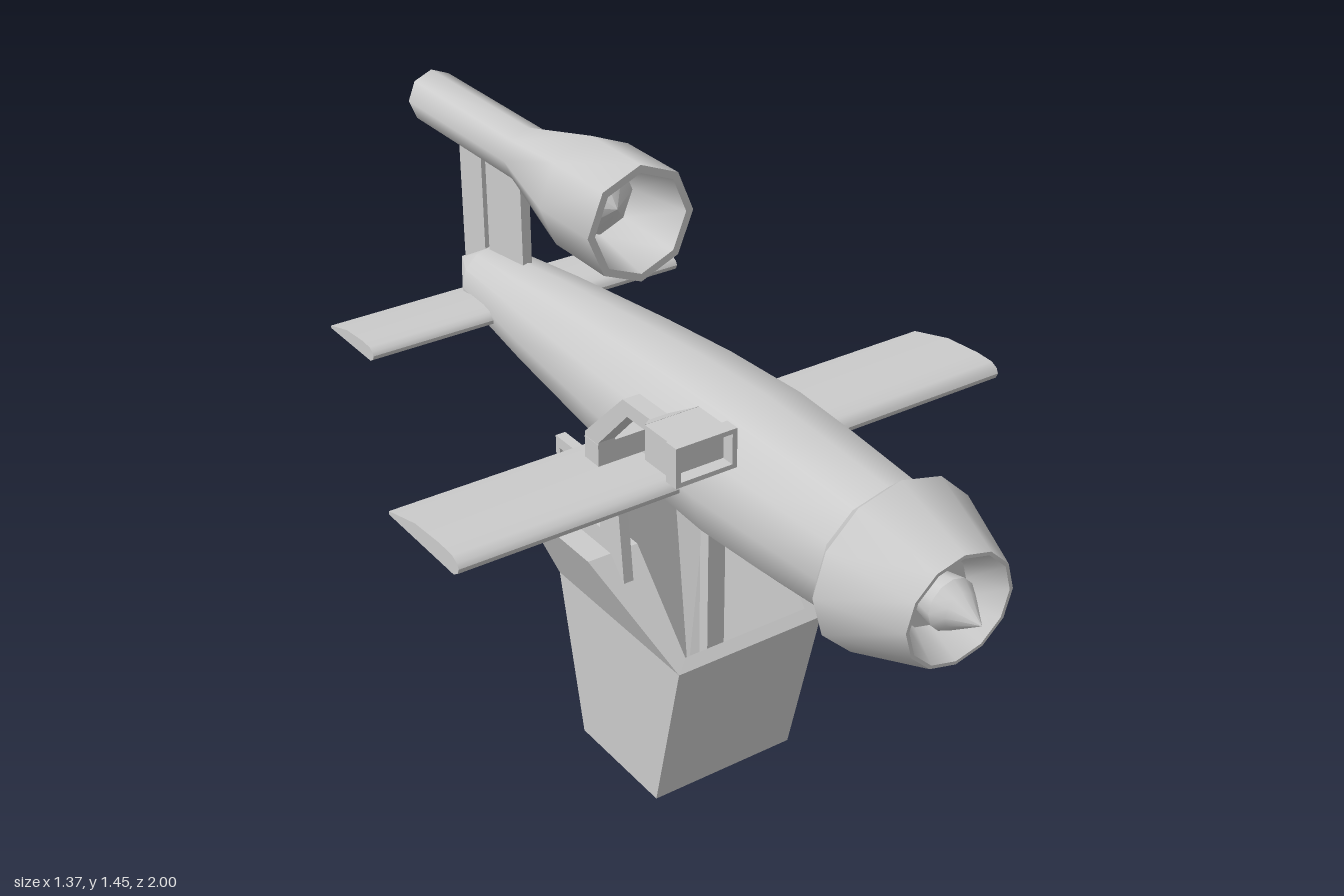
import * as THREE from 'three';
import { toCreasedNormals } from 'three/addons/utils/BufferGeometryUtils.js';

const mat = new THREE.MeshStandardMaterial({ color: 0xcccccc });
const thin = new THREE.MeshStandardMaterial({ color: 0xcccccc, flatShading: true, side: THREE.DoubleSide });

const AXIS = 0.935;   // height of the fuselage axis

export function createModel() {
  const model = new THREE.Group();

  const add = (name, geo, material = mat) => {
    const mesh = new THREE.Mesh(geo, material);
    mesh.name = name;
    model.add(mesh);
    return mesh;
  };

  // Body of revolution along z; profile is [radius, z] from tail to nose
  const turned = (name, profile, y, sides, crease, squash = 1) => {
    const geo = new THREE.LatheGeometry(profile.map(([r, z]) => new THREE.Vector2(r, z)), sides);
    geo.rotateX(Math.PI / 2).scale(1, squash, 1).translate(0, y, 0);
    return add(name, toCreasedNormals(geo, crease));
  };

  // Side outline of [z, y] points extruded across x0..x1
  const toPoints = (pts) => pts.map(([z, y]) => new THREE.Vector2(z, y));
  const slab = (name, outline, x0, x1, holes = []) => {
    const shape = new THREE.Shape(toPoints(outline));
    holes.forEach((h) => shape.holes.push(new THREE.Path(toPoints(h))));
    const geo = new THREE.ExtrudeGeometry(shape, { depth: x1 - x0, bevelEnabled: false });
    geo.rotateY(-Math.PI / 2).translate(x1, 0, 0);
    return add(name, toCreasedNormals(geo, 0.7));
  };
  const rect = (z0, z1, y0, y1) => [[z0, y0], [z1, y0], [z1, y1], [z0, y1]];

  // Fuselage, cowl and spinner
  turned('fuselage', [[0, -0.9], [0.085, -0.75], [0.12, -0.46], [0.153, -0.12], [0.17, 0.1],
    [0.178, 0.33], [0.17, 0.5], [0.155, 0.72]], AXIS, 12, 0.6);
  turned('cowl', [[0.15, 0.7], [0.2, 0.75], [0.13, 0.935], [0.122, 0.935], [0.08, 0.86], [0, 0.86]],
    AXIS, 12, 0.6, 0.94);
  turned('spinner', [[0.045, 0.85], [0.056, 0.91], [0.04, 0.937], [0, 0.995]], AXIS, 12, 0.6);

  // Pulse engine with hollow intake and exhaust
  turned('engine', [[0, -0.88], [0.052, -0.9], [0.054, -1], [0.065, -1], [0.065, -0.56], [0.133, -0.3],
    [0.133, -0.11], [0.115, -0.11], [0.085, -0.27], [0, -0.2]], 1.317, 8, 0.9);
  slab('frontEngineStrut', rect(-0.74, -0.585, 0.95, 1.28), -0.012, 0.012);
  slab('rearEngineStrut', rect(-0.86, -0.76, 0.93, 1.28), -0.012, 0.012);

  // Wings and tailplane share one airfoil, given as [chord fraction, height]
  const airfoil = [[0, -0.02], [0.92, -0.02], [0.98, -0.01], [1, 0.003], [0.98, 0.014],
    [0.92, 0.023], [0.75, 0.025], [0.4, 0.018], [0, -0.012]];
  const wing = (name, halfSpan, zBack, chord, lift) =>
    slab(name, airfoil.map(([t, h]) => [zBack + t * chord, 0.923 + h * lift]), -halfSpan, halfSpan);
  wing('wings', 0.685, 0, 0.282, 1);
  wing('tailplane', 0.415, -0.787, 0.212, 0.8);

  // Sight on a cranked arm at the right side
  const sightX = -0.274;
  add('sightBracket', new THREE.BoxGeometry(0.15, 0.05, 0.05).translate(-0.22, 0.99, 0.145));
  slab('sightArm', [[0.12, 0.965], [0.17, 0.965], [0.17, 1.02], [0.275, 1.13], [0.36, 1.13],
    [0.36, 1.162], [0.26, 1.162], [0.12, 1.025]], sightX - 0.02, sightX + 0.02);
  const neck = new THREE.CylinderGeometry(0.062 * Math.SQRT2, 0.02 * Math.SQRT2, 0.05, 4);
  neck.rotateY(Math.PI / 4).rotateX(Math.PI / 2).scale(1, 0.62, 1).translate(sightX, 1.147, 0.375);
  add('sightNeck', toCreasedNormals(neck, 0.3));
  add('sightBody', new THREE.BoxGeometry(0.124, 0.076, 0.085).translate(sightX, 1.147, 0.4425));
  const frame = new THREE.Shape([[-0.07, -0.043], [0.07, -0.043], [0.07, 0.043], [-0.07, 0.043]]
    .map(([x, y]) => new THREE.Vector2(x, y)));
  frame.holes.push(new THREE.Path([[-0.059, -0.033], [-0.059, 0.033], [0.059, 0.033], [0.059, -0.033]]
    .map(([x, y]) => new THREE.Vector2(x, y))));
  add('sightFrame', new THREE.ExtrudeGeometry(frame, { depth: 0.033, bevelEnabled: false })
    .translate(sightX, 1.147, 0.481));

  // Bucket pedestal: flat panels, each mirrored or spanning the middle
  const verts = [];
  const flip = ([x, y, z]) => [-x, y, z];
  const quad = (a, b, c, d) => verts.push(...a, ...b, ...c, ...a, ...c, ...d);
  const pair = (a, b, c, d) => { quad(a, b, c, d); quad(flip(d), flip(c), flip(b), flip(a)); };
  const span = (a, b) => quad(flip(a), a, b, flip(b));

  // Outer rings as [front corner, back corner]
  const rings = [
    [[0.13, 0, 0.115], [0.13, 0, -0.05]],
    [[0.185, 0.075, 0.21], [0.185, 0.075, -0.09]],
    [[0.19, 0.48, 0.305], [0.19, 0.48, -0.17]],
    [[0.285, 0.695, 0.105], [0.285, 0.695, -0.17]],
  ];
  for (let i = 0; i < 3; i++) {
    const [f0, b0] = rings[i], [f1, b1] = rings[i + 1];
    pair(f0, b0, b1, f1);
    span(b1, b0);
    if (i < 2) span(f0, f1);
  }
  span(rings[0][1], rings[0][0]);

  // Rim and cavity
  const lip = [0.16, 0.502, 0.285], mid = [0.16, 0.695, 0.105];
  const side = [0.16, 0.695, -0.08], rear = [0.105, 0.695, -0.145];
  const [outFront] = rings[2], [outMid, outBack] = rings[3];
  const floor = (p, z) => [p[0], 0.12, z];
  const fLip = floor(lip, 0.2), fMid = floor(mid, 0.105), fSide = floor(side, -0.03), fRear = floor(rear, -0.08);
  span(outFront, lip);
  pair(outFront, outMid, mid, lip);
  pair(outMid, outBack, side, mid);
  pair(outBack, outBack, rear, side);
  span(rear, outBack);
  pair(lip, mid, fMid, fLip);
  pair(mid, side, fSide, fMid);
  pair(side, rear, fRear, fSide);
  span(lip, fLip);
  span(fRear, rear);
  span(fLip, fMid);
  span(fMid, fSide);
  span(fSide, fRear);
  const bucket = new THREE.BufferGeometry();
  bucket.setAttribute('position', new THREE.Float32BufferAttribute(verts, 3));
  bucket.computeVertexNormals();
  add('pedestal', bucket, thin);

  // Centre post and windowed side brackets
  add('centrePost', new THREE.BoxGeometry(0.045, 0.66, 0.03).translate(-0.003, 0.45, 0.163));
  for (const s of [-1, 1]) {
    slab(s > 0 ? 'leftBracket' : 'rightBracket',
      [[-0.105, 0.65], [0.155, 0.645], [0.13, 0.885], [-0.105, 0.885]],
      s * 0.216 - 0.012, s * 0.216 + 0.012,
      [rect(0, 0.065, 0.74, 0.86), rect(-0.09, -0.022, 0.74, 0.86)]);
  }
  return model;
}
